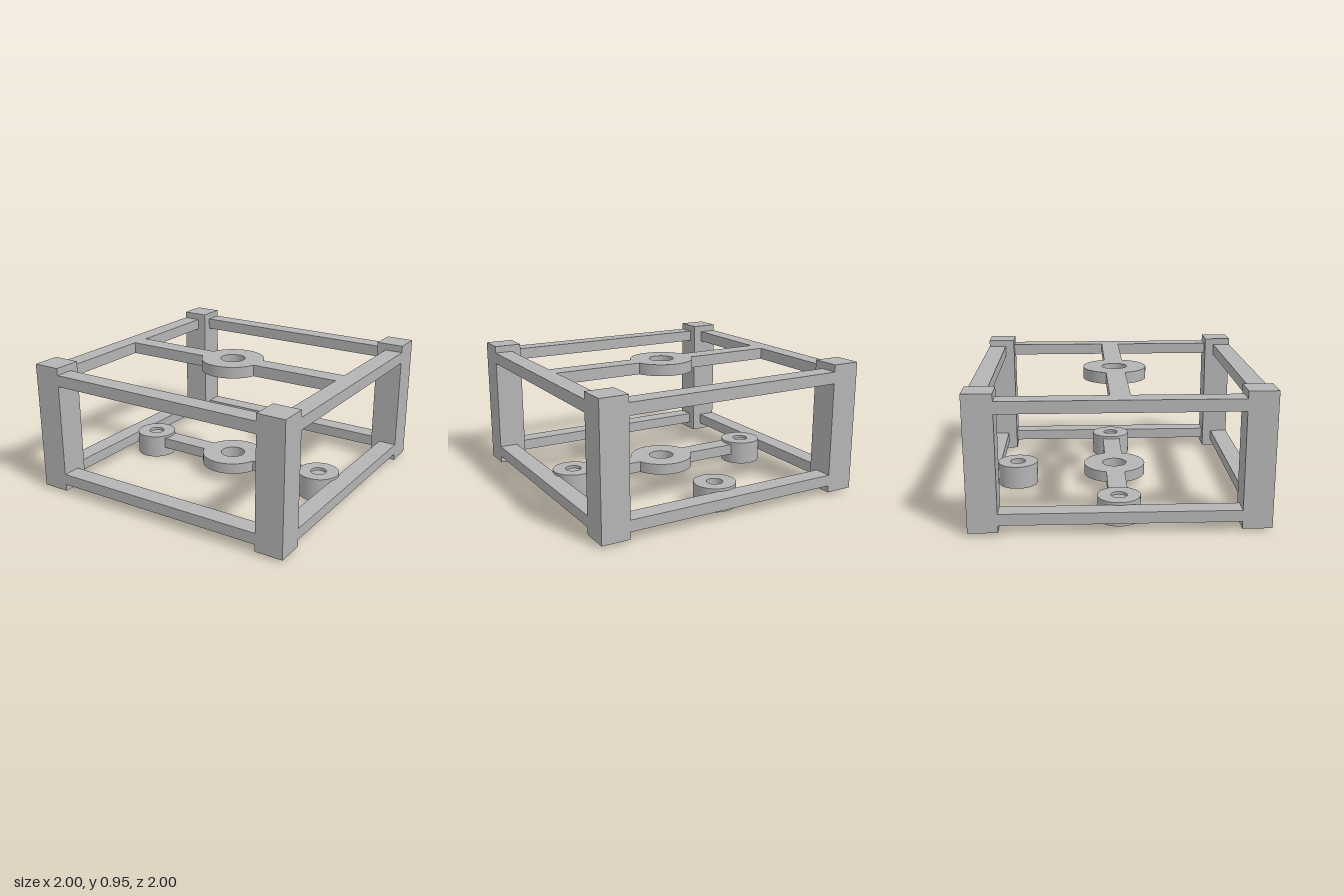
import * as THREE from 'three';
import { toCreasedNormals } from 'three/addons/utils/BufferGeometryUtils.js';

const grey = new THREE.MeshStandardMaterial({ color: 0xb4b4b4 });
grey.name = 'plain grey';

// Box given by its extents on each axis
function block(name, [x0, x1], [y0, y1], [z0, z1]) {
  const mesh = new THREE.Mesh(new THREE.BoxGeometry(x1 - x0, y1 - y0, z1 - z0), grey);
  mesh.position.set((x0 + x1) / 2, (y0 + y1) / 2, (z0 + z1) / 2);
  mesh.name = name;
  return mesh;
}

// Upright ring with a through hole
function ring(name, outer, inner, [y0, y1], x, z) {
  const shape = new THREE.Shape().absarc(0, 0, outer, 0, Math.PI * 2);
  shape.holes.push(new THREE.Path().absarc(0, 0, inner, 0, Math.PI * 2, true));
  const geometry = new THREE.ExtrudeGeometry(shape, { depth: y1 - y0, bevelEnabled: false, curveSegments: 64 });
  geometry.rotateX(-Math.PI / 2);
  const mesh = new THREE.Mesh(toCreasedNormals(geometry, 0.6), grey);
  mesh.position.set(x, y0, z);
  mesh.name = name;
  return mesh;
}

export function createModel() {
  const model = new THREE.Group();
  model.name = 'openFrame';
  const outer = 1, post = 0.8, rail = 0.868, barHalf = 0.068, hub = 0.23;
  const levels = { lower: [0.07, 0.15], upper: [0.82, 0.903] };
  const span = (side, a, b) => (side > 0 ? [a, b] : [-b, -a]);

  // Corner posts
  for (const sx of [-1, 1]) for (const sz of [-1, 1]) {
    model.add(block('cornerPost', span(sx, post, outer), [0.02, 0.953], span(sz, post, outer)));
  }

  // Two levels, each with four rails and a crossbar broken by a round hub
  for (const [level, y] of Object.entries(levels)) {
    const group = new THREE.Group();
    group.name = level + 'Frame';
    for (const s of [-1, 1]) {
      group.add(block('crossRail', [-post, post], y, span(s, rail, outer)));
      group.add(block('sideRail', span(s, rail, outer), y, [-post, post]));
      group.add(block('crossbar', span(s, 0.215, rail), y, [-barHalf, barHalf]));
    }
    group.add(ring('hub', hub, 0.09, y, 0, 0));
    model.add(group);
  }

  // Feet on both ends of the lower crossbar and at the back rail
  for (const [x, z] of [[-0.735, 0], [0.735, 0], [0, -0.735]]) {
    model.add(ring('foot', 0.148, 0.057, [0, 0.17], x, z));
  }
  return model;
}
